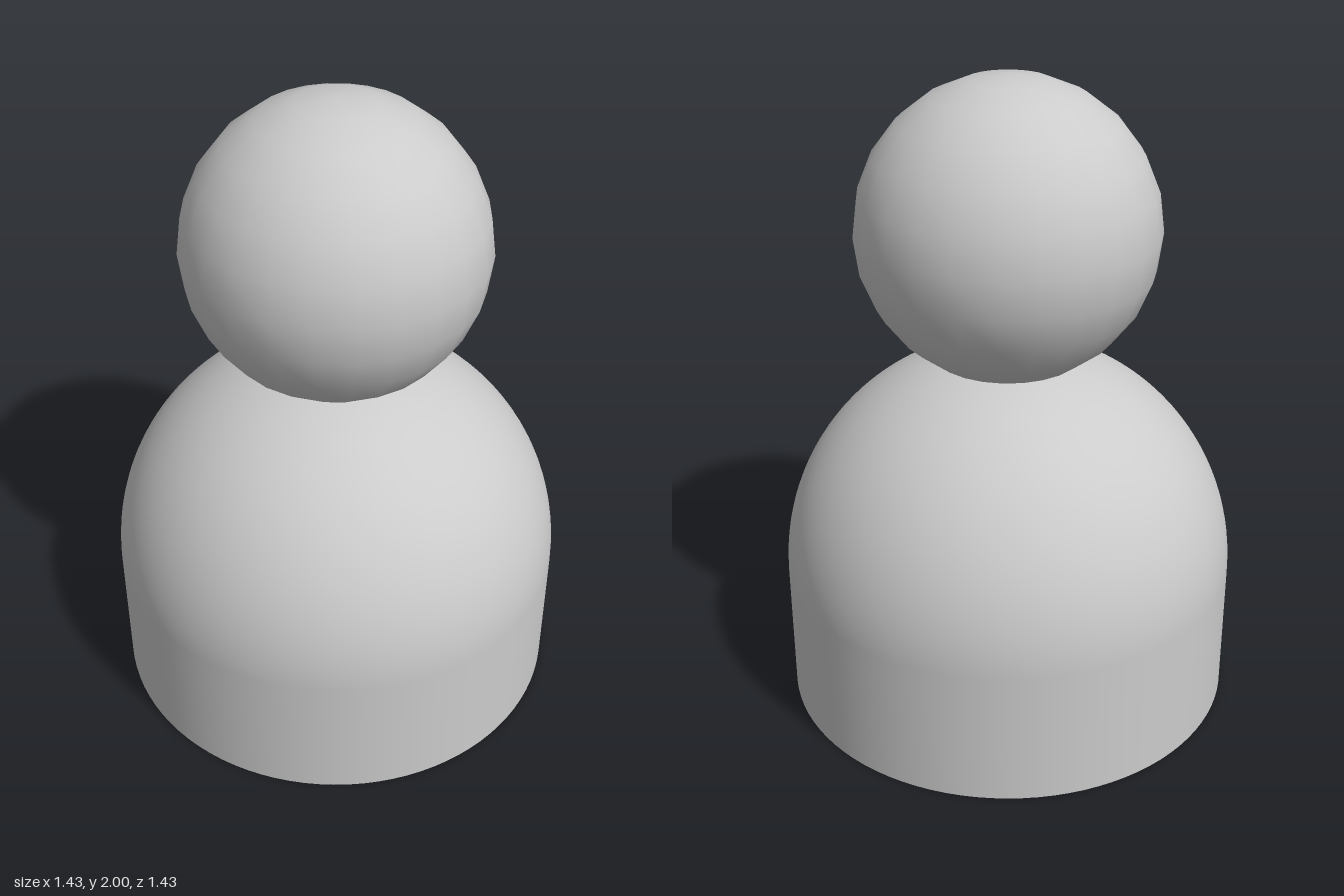
import * as THREE from 'three';

export function createModel() {
  const group = new THREE.Group();
  const material = new THREE.MeshStandardMaterial({ color: 0xcccccc });
  const add = (name, geometry, y) => {
    const mesh = new THREE.Mesh(geometry, material);
    mesh.name = name;
    mesh.position.y = y;
    group.add(mesh);
    return mesh;
  };

  // Body: straight wall rising into a hemispherical dome
  const radius = 0.717, wallHeight = 0.43, steps = 32;
  const profile = [new THREE.Vector2(radius, 0)];
  for (let i = 0; i <= steps; i++) {
    const a = (i / steps) * Math.PI / 2;
    profile.push(new THREE.Vector2(i === steps ? 0 : radius * Math.cos(a), wallHeight + radius * Math.sin(a)));
  }
  add('body', new THREE.LatheGeometry(profile, 96), 0);

  // Flat underside
  add('base', new THREE.CircleGeometry(radius, 96), 0).rotation.x = Math.PI / 2;

  // Head: coarser smooth sphere sunk slightly into the dome
  add('head', new THREE.SphereGeometry(0.463, 24, 12), 1.537);

  return group;
}
